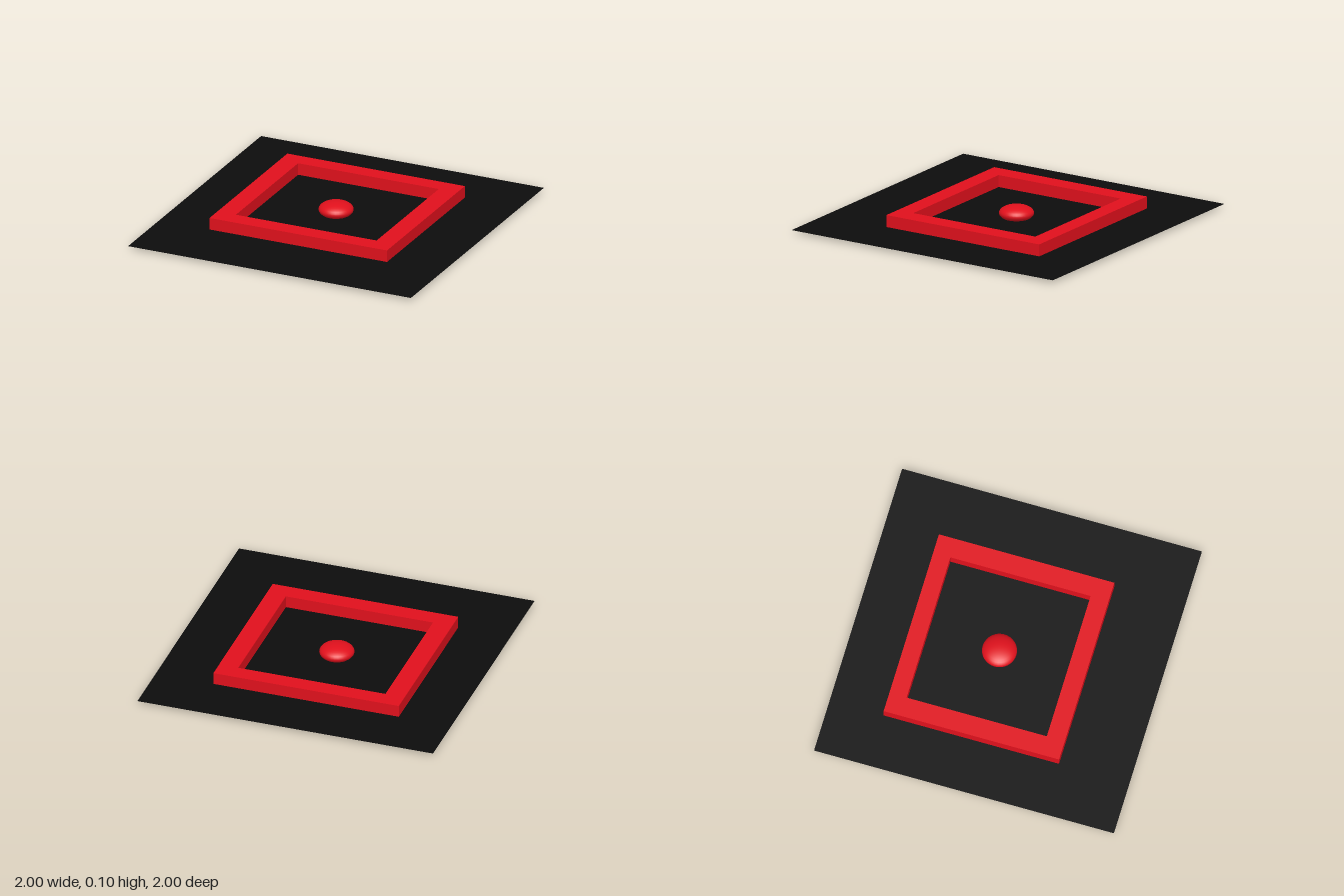
import * as THREE from 'three';

const red = new THREE.MeshStandardMaterial({ color: 0xe0101c });
const black = new THREE.MeshStandardMaterial({ color: 0x0c0c0c, side: THREE.DoubleSide });

// Trace a rectangle onto a shape or path
function rect(path, x0, x1, y0, y1) {
  path.moveTo(x0, y0).lineTo(x1, y0).lineTo(x1, y1).lineTo(x0, y1).closePath();
  return path;
}

export function createModel() {
  const model = new THREE.Group();
  const add = (name, geometry, material) => {
    const mesh = new THREE.Mesh(geometry, material);
    mesh.name = name;
    model.add(mesh);
    return mesh;
  };

  // Thin square sheet that cuts through the lower part of the frame and dome
  add('groundSheet', new THREE.PlaneGeometry(2, 2).rotateX(-Math.PI / 2), black).position.y = 0.02;

  // Rectangular frame, drawn in x and -z and raised along y
  const outline = rect(new THREE.Shape(), -0.645, 0.61, -0.53, 0.64);
  outline.holes.push(rect(new THREE.Path(), -0.515, 0.48, -0.41, 0.525));
  const frame = new THREE.ExtrudeGeometry(outline, { depth: 0.1, bevelEnabled: false });
  add('squareFrame', frame.rotateX(-Math.PI / 2), red);

  // Flattened ball in the middle of the frame
  const ball = add('centreBall', new THREE.SphereGeometry(1, 32, 16), red);
  ball.scale.set(0.113, 0.051, 0.113);
  ball.position.set(-0.023, 0.052, -0.05);

  return model;
}
